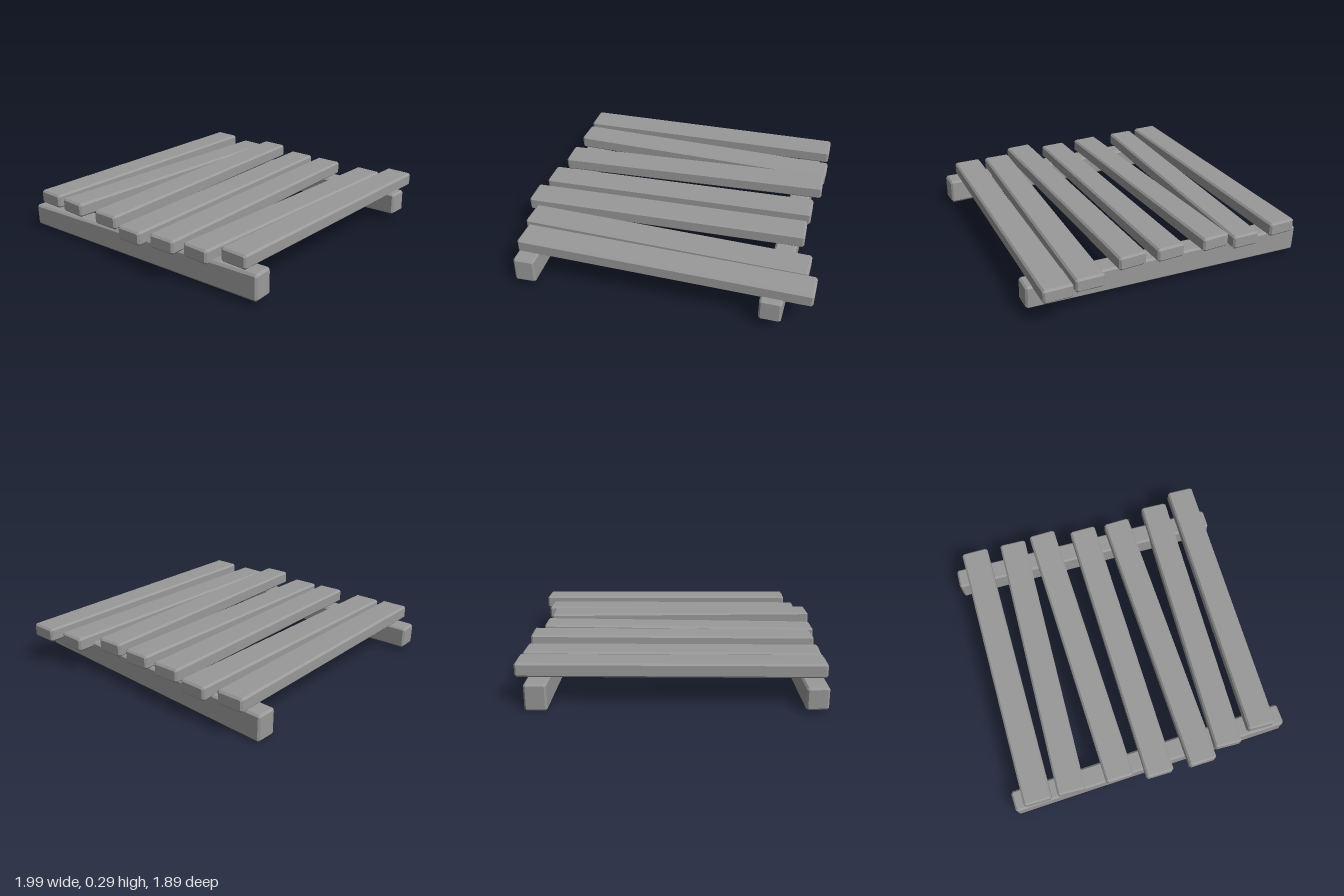
import * as THREE from 'three';

const CHAMFER = 0.012;

// Chamfered timber running from a to b, w wide, its height going from h0 at a to h1 at b
function timber(name, a, b, w, h0, h1, material) {
  const from = new THREE.Vector3(...a), to = new THREE.Vector3(...b);
  const length = from.distanceTo(to), c = CHAMFER;
  const x = w / 2 - c, y = h0 / 2 - c; // the bevel grows the outline by c
  const shape = new THREE.Shape([
    [-x, -y - c], [x, -y - c], [x + c, -y], [x + c, y],
    [x, y + c], [-x, y + c], [-x - c, y], [-x - c, -y],
  ].map(([px, py]) => new THREE.Vector2(px, py)));
  const geometry = new THREE.ExtrudeGeometry(shape, {
    depth: length - 2 * c, bevelEnabled: true, bevelSegments: 1,
    bevelThickness: c, bevelSize: c, bevelOffset: -c,
  });
  geometry.translate(0, 0, c - length / 2);

  // Taper the height along the length
  const p = geometry.attributes.position;
  for (let i = 0; i < p.count; i++) {
    const t = p.getZ(i) / length + 0.5;
    p.setY(i, p.getY(i) * THREE.MathUtils.lerp(1, h1 / h0, t));
  }
  geometry.computeVertexNormals();

  const mesh = new THREE.Mesh(geometry, material);
  mesh.name = name;
  mesh.position.addVectors(from, to).multiplyScalar(0.5);
  mesh.lookAt(to);
  return mesh;
}

export function createModel() {
  const group = new THREE.Group();
  group.name = 'slattedPlatform';
  const wood = new THREE.MeshStandardMaterial({ color: 0x999999 });
  wood.name = 'grey wood';

  // Two tapered bearers running back to front
  group.add(
    timber('rightBearer', [-0.872, 0.084, -0.94], [-0.816, 0.12, 0.94], 0.138, 0.142, 0.17, wood),
    timber('leftBearer', [0.798, 0.088, -0.94], [0.746, 0.136, 0.94], 0.138, 0.172, 0.144, wood),
  );

  // Crooked planks: x, y, z at one end, then x, y, z at the other
  const planks = [
    [-0.938, 0.233, -0.78, 0.93, 0.233, -0.774],
    [-0.938, 0.228, -0.556, 0.932, 0.211, -0.494],
    [-0.943, 0.23, -0.23, 0.925, 0.25, -0.272],
    [-0.985, 0.21, 0.032, 0.885, 0.233, 0.024],
    [-0.995, 0.244, 0.321, 0.873, 0.237, 0.279],
    [-0.93, 0.223, 0.524, 0.937, 0.21, 0.588],
    [-0.88, 0.25, 0.768, 0.992, 0.235, 0.81],
  ];
  planks.forEach((q, i) => group.add(
    timber(`plank${i + 1}`, q.slice(0, 3), q.slice(3), 0.184, 0.09, 0.09, wood)));

  return group;
}
